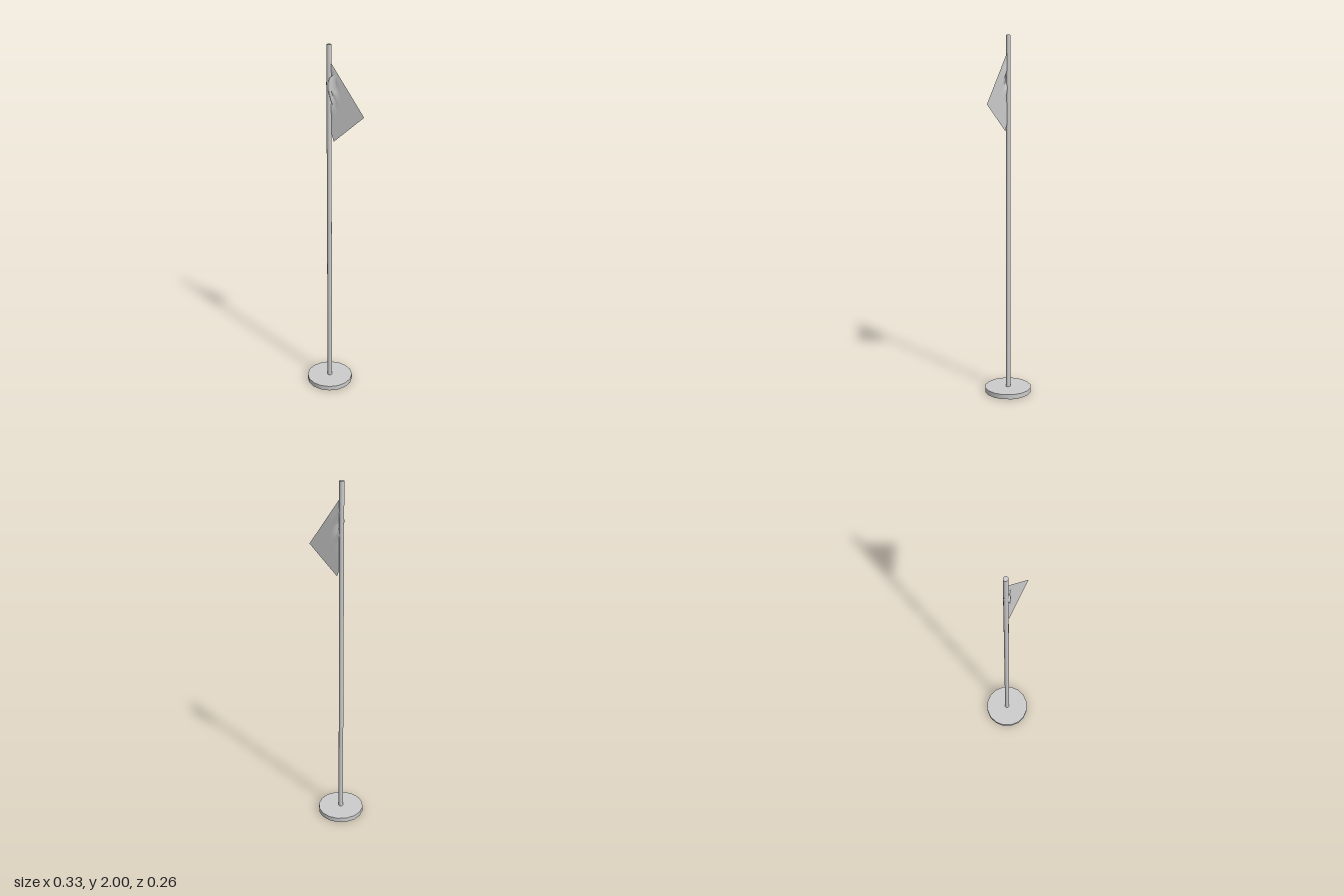
import * as THREE from 'three';

const material = new THREE.MeshStandardMaterial({ color: 0xcccccc });
const cloth = new THREE.MeshStandardMaterial({ color: 0xcccccc, side: THREE.DoubleSide });
const POLE_X = -0.033;

function cylinder(name, radius, y0, y1) {
  const mesh = new THREE.Mesh(new THREE.CylinderGeometry(radius, radius, y1 - y0, 16), material);
  mesh.name = name;
  mesh.position.set(POLE_X, (y0 + y1) / 2, 0);
  return mesh;
}

// Cloth sheet: a grid whose vertices are placed by point(u, v)
function sheet(name, nu, nv, point) {
  const geometry = new THREE.PlaneGeometry(1, 1, nu, nv);
  const pos = geometry.attributes.position;
  for (let i = 0; i < pos.count; i++) {
    const [x, y, z] = point(pos.getX(i) + 0.5, 0.5 - pos.getY(i));
    pos.setXYZ(i, x, y, z);
  }
  geometry.computeVertexNormals();
  const mesh = new THREE.Mesh(geometry, cloth);
  mesh.name = name;
  return mesh;
}

export function createModel() {
  const group = new THREE.Group();

  // Round foot and pole
  group.add(cylinder('base', 0.132, 0, 0.027));
  group.add(cylinder('pole', 0.013, 0.027, 2));

  // Pennant: hoist edge with a drooping lower corner, drawn in to the tip
  const hoist = [[-0.02, 1.905], [-0.021, 1.8], [-0.021, 1.7], [-0.021, 1.6],
    [-0.02, 1.53], [-0.006, 1.49], [0.004, 1.515], [0.02, 1.537]];
  const tip = [0.163, 1.64];
  group.add(sheet('flag', 24, 42, (u, v) => {
    const s = v * (hoist.length - 1);
    const i = Math.min(Math.floor(s), hoist.length - 2);
    const edge = (k) => hoist[i][k] + (hoist[i + 1][k] - hoist[i][k]) * (s - i);
    const x = edge(0) + (tip[0] - edge(0)) * u;
    const y = edge(1) + (tip[1] - edge(1)) * u;
    // Creases fade out away from the pole
    const fade = Math.exp(-(((x + 0.02) / 0.025) ** 2)) * Math.exp(-(((y - 1.76) / 0.08) ** 2));
    return [x, y, fade * (0.004 + 0.008 * Math.sin(y * 55 + x * 90))];
  }));

  // Gathered cloth wrapped across the front of the pole
  const wrap = new THREE.CatmullRomCurve3([
    [0.004, 0, 0.002], [-0.012, 0, 0.008], [-0.024, 0, 0.019], [-0.036, 0, 0.014], [-0.051, 0, -0.003],
  ].map((p) => new THREE.Vector3(...p)));
  group.add(sheet('hoistFold', 12, 10, (u, v) => {
    const p = wrap.getPoint(u);
    const top = 1.85 - 0.025 * u, bottom = 1.66 + 0.11 * u;
    const bulge = Math.sin(Math.PI * v);
    const x = p.x + (1 - bulge) * 0.012 * u;
    return [x, top + (bottom - top) * v, p.z * (0.65 + 0.35 * bulge)];
  }));

  return group;
}
